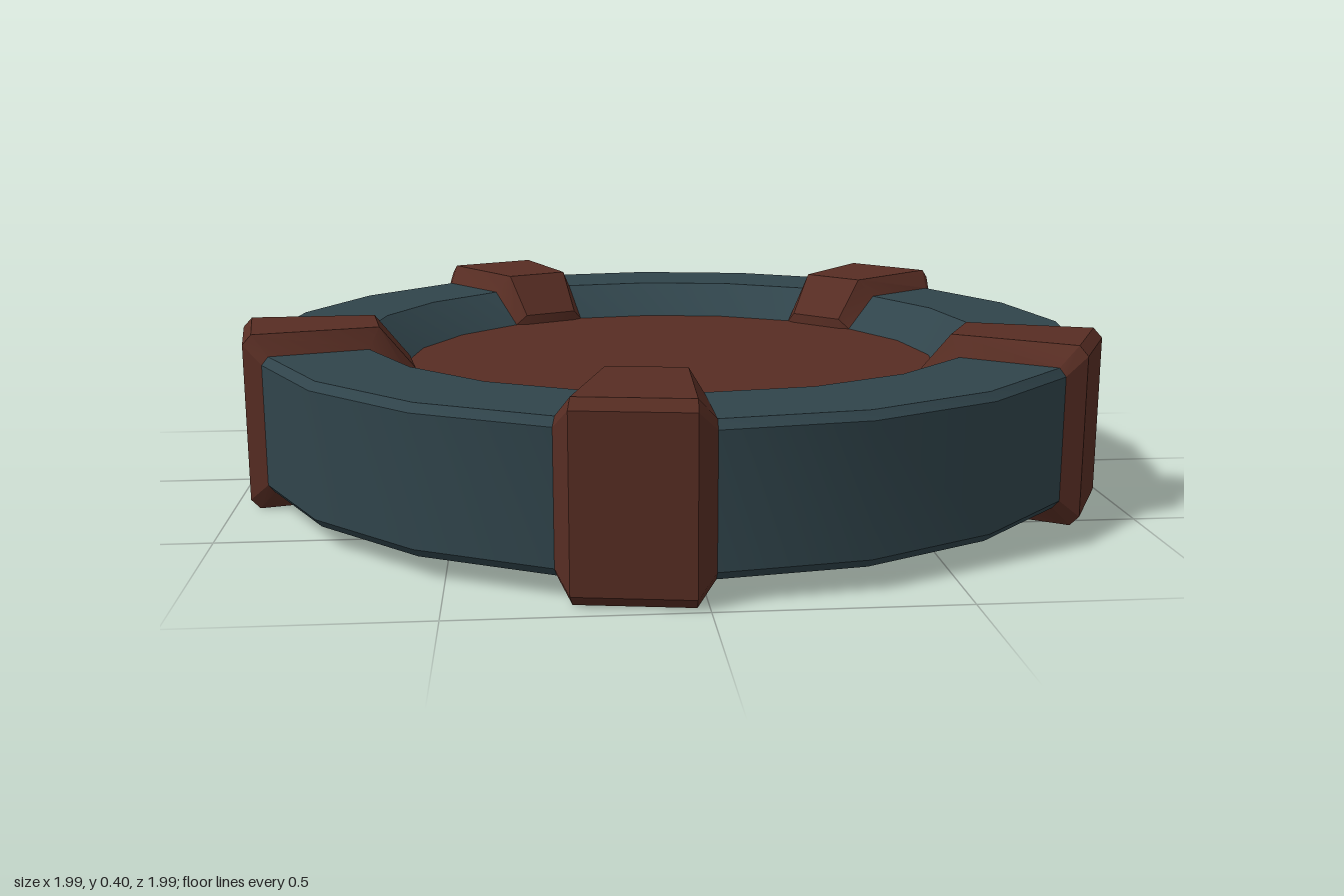
import * as THREE from 'three';
import { toCreasedNormals } from 'three/addons/utils/BufferGeometryUtils.js';

const SIDES = 20;
const MID = 0.205; // half height of the whole ring

// Mirror the upper half of a section (radius, height above the middle) into a closed loop
function section(upper) {
  const top = upper.map(([r, h]) => new THREE.Vector2(r, MID + h));
  const bottom = upper.map(([r, h]) => new THREE.Vector2(r, MID - h)).reverse();
  return [...top, ...bottom];
}

const ringSection = section([[0.98, 0.137], [0.965, 0.155], [0.74, 0.155], [0.645, 0.075]]);
const bandSection = section([[1.015, 0.178], [0.995, 0.2], [0.71, 0.2], [0.63, 0.1]]);

// A band wraps one ring segment, its sides bevelled from the ring surface up to the raised section
function bandGeometry() {
  const strips = [
    [ringSection, -Math.PI / SIDES],
    [bandSection, -0.118],
    [bandSection, 0.118],
    [ringSection, Math.PI / SIDES],
  ];
  const n = ringSection.length;
  const positions = [];
  const index = [];
  for (const [points, angle] of strips) {
    for (const p of points) positions.push(p.x * Math.sin(angle), p.y, p.x * Math.cos(angle));
  }
  for (let s = 0; s < strips.length - 1; s++) {
    for (let i = 0; i < n; i++) {
      const j = (i + 1) % n;
      const a = s * n + i, b = (s + 1) * n + i, c = (s + 1) * n + j, d = s * n + j;
      index.push(a, b, c, a, c, d);
    }
  }
  const geometry = new THREE.BufferGeometry();
  geometry.setAttribute('position', new THREE.Float32BufferAttribute(positions, 3));
  geometry.setIndex(index);
  return toCreasedNormals(geometry, 0.5);
}

export function createModel() {
  const slate = new THREE.MeshStandardMaterial({ color: 0x30444b });
  slate.name = 'slate';
  const rust = new THREE.MeshStandardMaterial({ color: 0x572d23 });
  rust.name = 'rust';

  const model = new THREE.Group();
  model.name = 'bandedRing';
  const add = (name, geometry, material) => {
    const mesh = new THREE.Mesh(geometry, material);
    mesh.name = name;
    model.add(mesh);
    return mesh;
  };

  // Ring body
  const closed = [...ringSection, ringSection[0]];
  add('ring', toCreasedNormals(new THREE.LatheGeometry(closed, SIDES), 0.5), slate);

  // Floor disc filling the ring
  add('floorDisc', new THREE.CylinderGeometry(0.645, 0.645, 0.15, SIDES), rust).position.y = MID;

  // Five raised bands
  const band = bandGeometry();
  for (let k = 0; k < 5; k++) {
    add('band' + (k + 1), band, rust).rotation.y = -Math.PI / SIDES + (k * Math.PI * 2) / 5;
  }

  // Five bands make the bounds uneven, so shift the ring to centre them
  for (const part of model.children) {
    part.position.x += 0.015;
    part.position.z -= 0.02;
  }
  return model;
}
